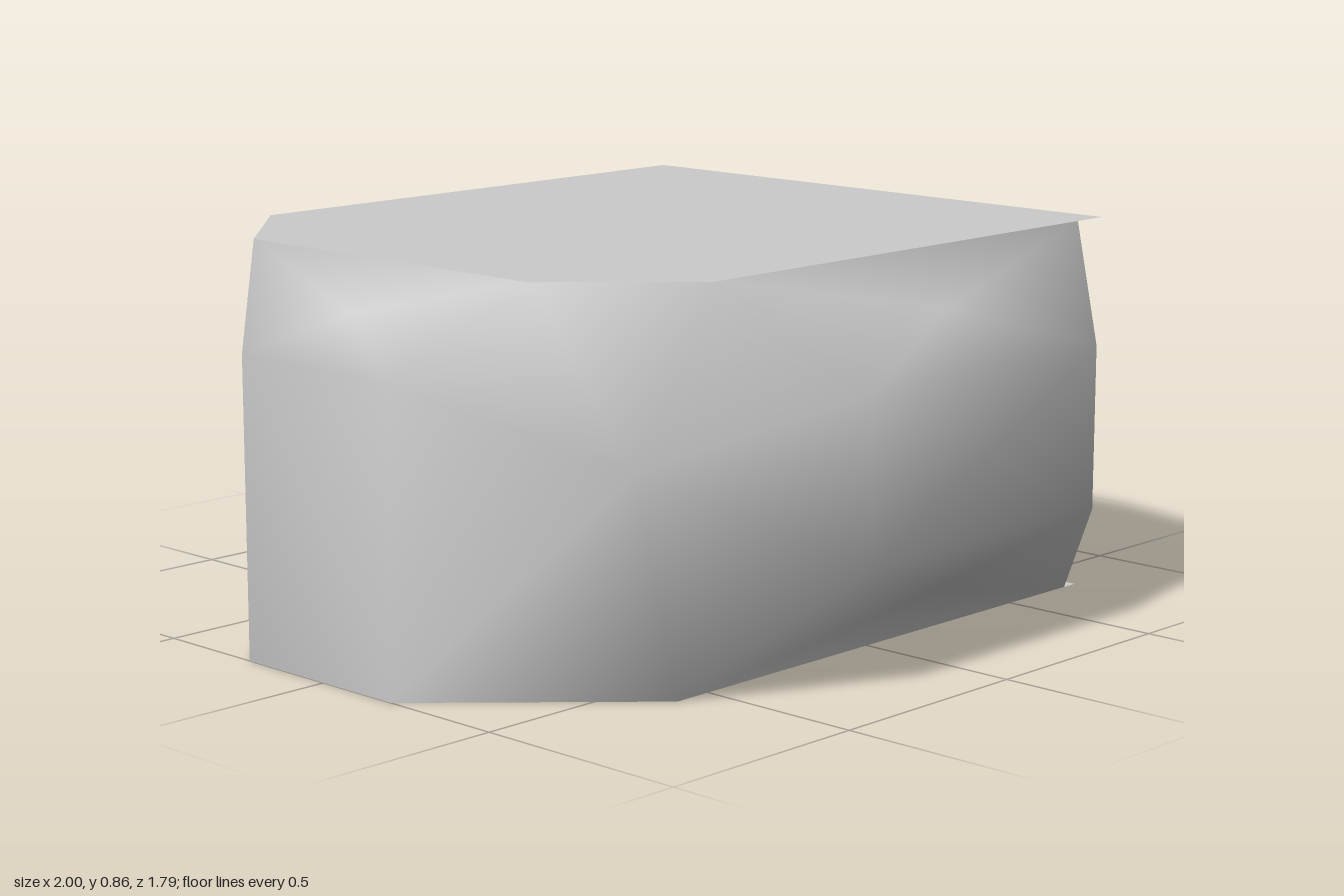
import * as THREE from 'three';
import { mergeVertices } from 'three/addons/utils/BufferGeometryUtils.js';

// Boundary planes [nx, ny, nz, d], solid where n.p <= d
const top = [0, 1, 0, 0.86];
const bottom = [0, -1, 0, 0];
const diagonalsRight = [[1, 0, 1, 1.32], [1, 0, -1, 1.35]];
const diagonalsLeft = [[-1, 0, 1, 1.21], [-1, 0, -1, 1.24]];
const walls = [[1, 0, 0, 1], [-1, 0, 0, 1], [0, 0, 1, 0.895], [0, 0, -1, 0.895]];
const bevels = [
  [1, 1, 0, 1.6], [-1, 1, 0, 1.66], [0, 1, 1, 1.53], [0, 1, -1, 1.56], // upper
  [1, -1, 0, 0.74], [0, -1, 1, 0.62], [0, -1, -1, 0.69],               // lower
];
const sides = [...walls, ...diagonalsRight, ...diagonalsLeft, ...bevels];

const normalOf = (p) => new THREE.Vector3(p[0], p[1], p[2]);

// Polygon of one plane, trimmed by the given other planes
function facePolygon(plane, cutters) {
  const n = normalOf(plane);
  const origin = n.clone().multiplyScalar(plane[3] / n.lengthSq());
  n.normalize();
  const u = new THREE.Vector3(n.y, n.z, n.x).cross(n);
  if (u.lengthSq() < 1e-6) u.set(0, 1, 0).cross(n);
  u.normalize();
  const v = n.clone().cross(u);
  let poly = [[-5, -5], [5, -5], [5, 5], [-5, 5]].map(([a, b]) =>
    origin.clone().addScaledVector(u, a).addScaledVector(v, b));
  for (const cut of cutters) {
    if (cut === plane) continue;
    const m = normalOf(cut);
    const out = [];
    poly.forEach((a, i) => {
      const b = poly[(i + 1) % poly.length];
      const da = m.dot(a) - cut[3], db = m.dot(b) - cut[3];
      if (da <= 1e-7) out.push(a);
      if ((da < -1e-7 && db > 1e-7) || (da > 1e-7 && db < -1e-7)) {
        out.push(a.clone().lerp(b, da / (da - db)));
      }
    });
    poly = out;
  }
  return poly;
}

// Fan every polygon around its centre and weld the result
function fanGeometry(polygons) {
  const pos = [];
  for (const poly of polygons) {
    if (poly.length < 3) continue;
    const c = new THREE.Vector3();
    poly.forEach((p) => c.addScaledVector(p, 1 / poly.length));
    poly.forEach((p, i) => {
      const q = poly[(i + 1) % poly.length];
      pos.push(...c.toArray(), ...p.toArray(), ...q.toArray());
    });
  }
  let geo = new THREE.BufferGeometry();
  geo.setAttribute('position', new THREE.Float32BufferAttribute(pos, 3));
  geo = mergeVertices(geo, 1e-4);
  geo.computeVertexNormals();
  return geo;
}

export function createModel() {
  const group = new THREE.Group();
  const material = new THREE.MeshStandardMaterial({ color: 0xcccccc, side: THREE.DoubleSide });
  const add = (name, polygons) => {
    const mesh = new THREE.Mesh(fanGeometry(polygons), material);
    mesh.name = name;
    group.add(mesh);
  };

  // Smooth bevelled shell around the block
  const all = [...sides, top, bottom];
  add('bevelledSides', sides.map((p) => facePolygon(p, all)));

  // Flat plates whose right-hand corners overhang the diagonal walls
  const plateCutters = [...walls, ...diagonalsLeft, ...bevels];
  add('topPlate', [facePolygon(top, plateCutters)]);
  add('bottomPlate', [facePolygon(bottom, plateCutters)]);
  return group;
}
